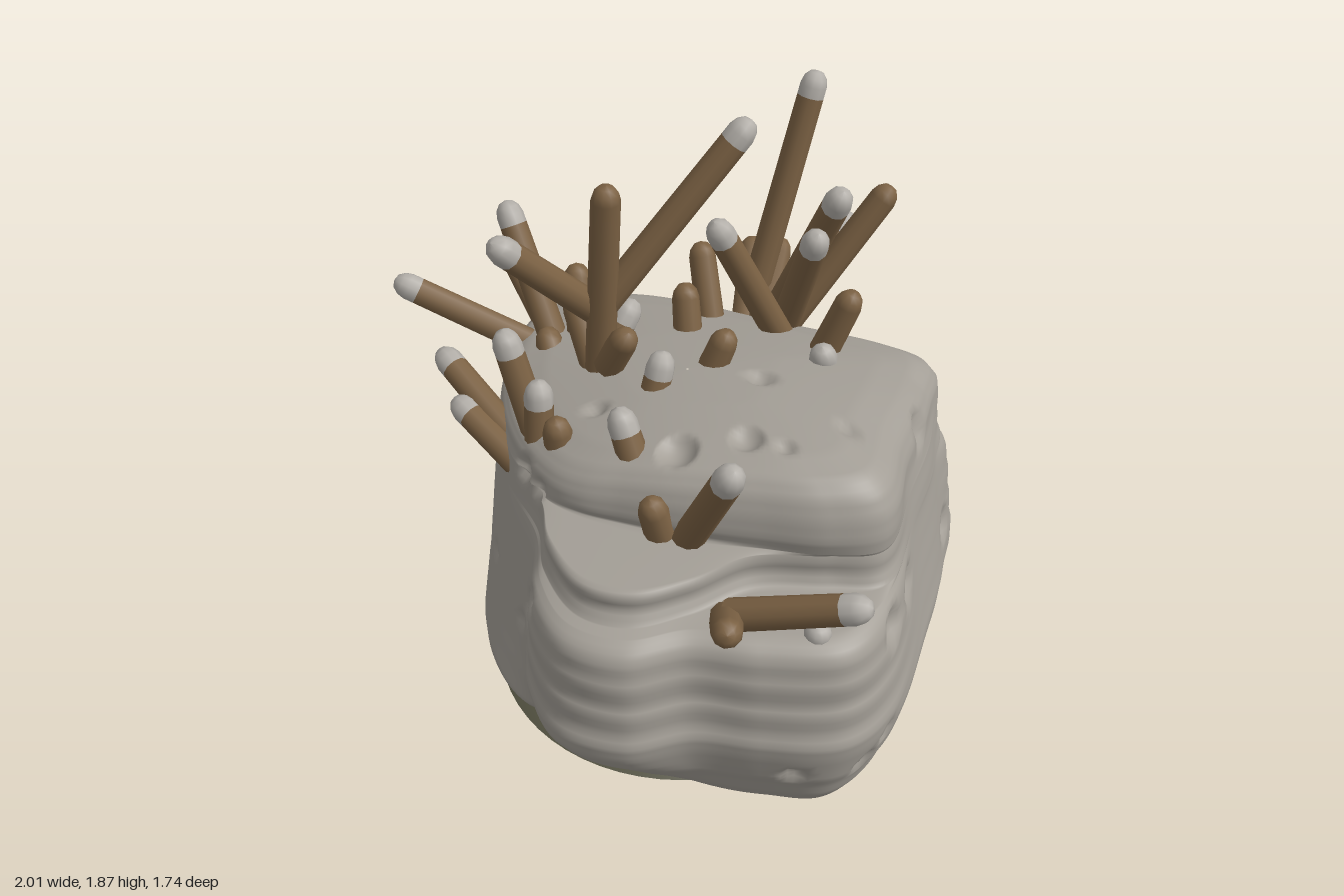
import * as THREE from 'three';

const mat = (name, color, extra = {}) => {
  const m = new THREE.MeshStandardMaterial({ color, ...extra });
  m.name = name;
  return m;
};

// Plan outlines (x, z), all listed in the same order around the rock
const BASE = [[-.83, -.13], [-.77, -.34], [-.55, -.49], [-.2, -.58], [.22, -.68], [.45, -.68], [.6, -.5], [.76, -.2], [.88, .1], [.86, .28],
  [.74, .39], [.62, .47], [.47, .54], [.3, .57], [.12, .61], [-.06, .67], [-.33, .6], [-.61, .37], [-.82, .08]];
const MID = [[-.92, -.15], [-.85, -.4], [-.6, -.57], [-.2, -.66], [.25, -.76], [.5, -.76], [.65, -.56], [.83, -.22], [.97, .1], [.96, .3],
  [.79, .48], [.63, .6], [.53, .77], [.35, .85], [.14, .79], [-.04, .71], [-.33, .61], [-.62, .38], [-.86, .05]];
const CAP = [[-.83, -.13], [-.74, -.35], [-.52, -.48], [-.18, -.58], [.22, -.7], [.42, -.71], [.52, -.56], [.68, -.25], [.81, 0], [.72, .14],
  [.56, .26], [.42, .35], [.3, .42], [.2, .47], [.08, .52], [-.05, .53], [-.3, .46], [-.58, .28], [-.78, .03]];
// Like the cap, but with the raised front lobe
const SHELF = CAP.map((p, i) => ({ 10: [.57, .3], 11: [.52, .5], 12: [.45, .65], 13: [.31, .72], 14: [.1, .67], 15: [-.04, .6] }[i] || p));
const mix = (p, q, t) => p.map((v, k) => v + (q[k] - v) * t);
const blend = (a, b, t) => a.map((p, i) => mix(p, b[i], t));

// How strongly each outline point belongs to one of the two broken-off flat faces
const FLAT = { 5: .5, 6: 1, 7: 1, 8: .4, 15: .75, 16: 1, 17: 1, 18: .85 };

// Stacked rings: height, outline, scale
const LEVELS = [
  [0, BASE, .005], [0, BASE, .5], [.015, BASE, .8], [.04, BASE, .93], [.09, BASE, 1], [.14, blend(BASE, MID, .2), 1.01],
  [.2, blend(BASE, MID, .5), 1], [.25, blend(BASE, MID, .65), 1.01], [.3, blend(BASE, MID, .88), 1], [.36, MID, 1.005], [.42, MID, 1.015],
  [.46, MID, .995], [.53, MID, .997], [.56, MID, .982], [.63, MID, .987], [.66, MID, .975], [.71, MID, .97], [.74, MID, .95],
  [.76, MID, .91], [.77, SHELF, 1.02], [.81, SHELF, .985], [.85, SHELF, .995], [.87, SHELF, .985], [.88, CAP, .995],
  [.93, CAP, 1.015], [1, CAP, 1], [1.06, CAP, .96], [1.1, CAP, .89], [1.125, CAP, .75], [1.145, CAP, .35], [1.15, CAP, .005],
];

// Outline at one level, with the flat faces cut straight from body to cap
const outlineAt = ([y, o, s]) => o.map((p, i) => {
  const q = [p[0] * s, p[1] * s], from = i >= 15 ? .1 : .34;
  if (!FLAT[i] || y < from || y > .96) return q;
  return mix(q, mix(MID[i], CAP[i], (y - from) / (.96 - from)), FLAT[i]);
});

// Pits: x, y, z, radius
const PITS = [
  [-.53, .36, .45, .05], [-.69, .2, .3, .05], [-.4, .46, .55, .035], [-.68, .84, .2, .05], [-.18, .88, .5, .05], [-.08, .88, .52, .04],
  [-.03, .54, .68, .06], [.1, .7, .76, .05], [-.1, .43, .65, .035], [.02, .42, .7, .03], [.94, .27, .2, .05], [.9, .67, .06, .065],
  [.8, .66, -.13, .065], [.6, .99, -.42, .065], [.6, .48, -.61, .06], [.65, .08, -.35, .045], [.8, .3, .33, .045], [.95, .34, .12, .04],
  [.26, 1.12, .3, .065], [.39, 1.14, .14, .055], [.2, 1.14, -.12, .05], [.56, 1.14, -.1, .04], [.5, 1.14, .1, .035], [-.1, 1.08, .3, .04],
  [-.6, .6, -.55, .05], [-.3, .5, -.64, .05], [0, .4, -.7, .05], [.25, .6, -.75, .05], [.1, .25, -.68, .045], [-.5, .3, -.53, .045],
  [-.8, .5, -.4, .05], [-.9, .4, -.1, .05], [-.86, .6, 0, .04], [-.85, .25, -.2, .045], [.3, 0, .2, .04], [-.1, 0, -.1, .04], [.05, 0, .1, .04],
];

function rockGeometry() {
  const N = 228, pos = [], index = [], y0 = .87;
  const curves = LEVELS.map(level => new THREE.CatmullRomCurve3(
    outlineAt(level).map(([x, z]) => new THREE.Vector3(x, level[0], z)), true).getPoints(N).slice(0, N));
  const addRing = (a, b, t) => a.forEach((p, i) => {
    const v = p.clone().lerp(b[i], t);
    if (v.y > y0) { // the top slopes down towards the left and the rim, most of all at the front left
      const rim = v.z > 0 ? .07 + .1 * THREE.MathUtils.clamp(.3 - v.x, 0, 1) : .07;
      const drop = .17 * Math.pow(Math.max(0, .55 - v.x) / 1.3, 1.6) + rim * Math.min(1, v.z * v.z / .3);
      v.y = y0 + (v.y - y0) * (1 - Math.min(.85, drop / .28));
    }
    const r = 1 + .004 * Math.sin(v.x * 11 + v.y * 5) * Math.cos(v.z * 13 - v.y * 4);
    pos.push(v.x * r, v.y, v.z * r);
  });
  for (let k = 0; k < curves.length - 1; k++) {
    const a = curves[k], b = curves[k + 1];
    const far = Math.max(...a.map((p, i) => p.distanceTo(b[i])));
    const steps = Math.min(16, Math.ceil(far / .025));
    for (let j = 0; j < steps; j++) addRing(a, b, j / steps);
  }
  addRing(curves.at(-1), curves.at(-1), 0);
  for (let k = 0; k < pos.length / 3 / N - 1; k++) for (let i = 0; i < N; i++) {
    const j = (i + 1) % N, a = k * N + i, b = k * N + j;
    index.push(a, a + N, b, b, a + N, b + N);
  }
  const g = new THREE.BufferGeometry();
  g.setAttribute('position', new THREE.Float32BufferAttribute(pos, 3));
  g.setIndex(index);
  g.computeVertexNormals();
  // Press round pits into the surface
  const P = g.attributes.position, Nn = g.attributes.normal, v = new THREE.Vector3();
  for (const [x, y, z, r] of PITS) {
    const c = new THREE.Vector3(x, y, z);
    let best = 0, bd = Infinity;
    for (let i = 0; i < P.count; i++) {
      const d = v.fromBufferAttribute(P, i).distanceToSquared(c);
      if (d < bd) { bd = d; best = i; }
    }
    c.fromBufferAttribute(P, best);
    const n = new THREE.Vector3().fromBufferAttribute(Nn, best);
    for (let i = 0; i < P.count; i++) {
      const d = v.fromBufferAttribute(P, i).distanceTo(c) / r;
      if (d < 1) {
        v.addScaledVector(n, -.55 * r * (1 - d * d));
        P.setXYZ(i, v.x, v.y, v.z);
      }
    }
  }
  g.computeVertexNormals();
  return g;
}

// Growths with pale tips: base xyz, end xyz
const TIPPED = [
  [-.25, 1.28, .12, .01, 1.86, -.25], [-.28, 1.25, .12, -.32, 1.6, .47], [-.23, .88, .4, -.34, 1.29, .44], [-.3, 1, .12, -.28, 1.22, -.04],
  [-.24, 1.05, -.55, -.18, 1.81, -.75], [-.16, 1, -.58, .18, 1.61, -.48], [-.1, .98, -.55, .15, 1.48, -.41], [-.04, .98, -.48, -.1, 1.5, -.21],
  [-.1, .98, -.52, -.09, 1.3, -.86], [-.58, .95, .05, -.83, 1.39, .03], [-.62, .88, .02, -1, 1.16, .38], [-.6, .85, -.22, -.84, .92, -.23],
  [-.27, .8, .4, -.76, 1, .39], [-.28, .8, .44, -.6, .92, .46], [-.21, .85, .43, -.22, 1.15, .41], [-.02, 1, .14, -.02, 1.2, .08],
  [.16, 1, .36, .08, 1.18, .36], [.36, .84, .36, .63, 1.29, .44], [.62, .78, .44, .99, .94, .27],
  [-.36, .68, -.56, -.51, .77, -.86], [-.36, .66, -.54, -.55, .7, -.72], [.23, 1.03, -.38, .25, 1.15, -.34],
];
// Growths that are brown to the end
const PLAIN = [
  [-.28, .95, .12, -.18, 1.72, .15], [-.1, .98, -.55, .1, 1.48, -.82], [-.5, .95, 0, -.6, 1.21, -.07], [-.66, .9, -.02, -.96, 1.09, -.08],
  [-.5, .93, .12, -.58, 1.04, .09], [.17, 1.05, -.44, .25, 1.29, -.48], [.01, 1.05, -.08, .06, 1.22, -.12], [-.22, 1, -.22, -.27, 1.2, -.25],
  [-.26, .95, -.37, -.38, 1.24, -.43], [-.22, .9, -.48, -.38, 1.16, -.69], [-.16, .9, -.48, -.26, 1.2, -.7], [.31, .84, .4, .31, 1.02, .45],
  [.6, .75, .43, .75, .88, .58], [-.12, .85, .41, -.11, 1.08, .44], [-.28, 1, .12, -.42, 1.24, .1],
  [-.38, .78, -.52, -.4, .8, -.69], [-.3, .72, -.55, -.3, .72, -.71], [-.24, .66, -.56, -.24, .66, -.71], [-.22, 1.08, .13, -.11, 1.25, .14],
];

export function createModel() {
  const group = new THREE.Group();
  group.name = 'coralRock';
  const rockMat = mat('rockGrey', 0xa39e96);
  const brown = mat('coralBrown', 0x7c6244);
  const pale = mat('paleTip', 0xb2aea8);
  const olive = mat('seabedOlive', 0x555443, { side: THREE.DoubleSide });
  const orange = mat('seabedOrange', 0x94713c, { side: THREE.DoubleSide });
  const add = (parent, name, geo, m) => {
    const mesh = new THREE.Mesh(geo, m);
    mesh.name = name;
    parent.add(mesh);
    return mesh;
  };

  add(group, 'rock', rockGeometry(), rockMat);

  // Thin domed sheets that peep out at the front and back of the foot
  const sheet = (name, points, width, m) => {
    const g = new THREE.LatheGeometry(points.map(p => new THREE.Vector2(...p)), 64);
    add(group, name, g.scale(width, 1, 1).rotateY(.37).translate(.05, 0, .01), m);
  };
  sheet('seabedSheet', [[.71, .085], [.67, .11], [.6, .135], [.3, .15], [0, .155]], .92, olive);
  sheet('seabedPatch', [[.655, .122], [.62, .138], [.5, .147], [0, .16]], .7, orange);

  // Slightly tapered rod with a rounded end, along +y
  const R = .049, TIP = .045;
  const rod = (len, foot) => new THREE.LatheGeometry([[foot, 0], [TIP, len - .05], [TIP * .85, len - .025], [TIP * .5, len - .006], [0, len]]
    .map(p => new THREE.Vector2(...p)), 10);
  const growth = ([x, y, z, ex, ey, ez], tipped) => {
    const a = new THREE.Vector3(x, y, z), d = new THREE.Vector3(ex, ey, ez).sub(a), len = d.length();
    const g = new THREE.Group();
    g.name = tipped ? 'tippedCoral' : 'plainCoral';
    g.position.copy(a);
    g.quaternion.setFromUnitVectors(new THREE.Vector3(0, 1, 0), d.normalize());
    if (tipped) {
      const cut = len - .085;
      add(g, 'coralStem', new THREE.CylinderGeometry(TIP, R, cut, 10, 1, true).translate(0, cut / 2, 0), brown);
      add(g, 'coralTip', rod(.085, TIP).translate(0, cut, 0), pale);
    } else add(g, 'coralStem', rod(len, R), brown);
    group.add(g);
  };
  TIPPED.forEach(c => growth(c, true));
  PLAIN.forEach(c => growth(c, false));

  // Loose nub on the right shelf
  add(group, 'paleNub', new THREE.SphereGeometry(.04, 12, 8).translate(.83, .76, .3), pale);
  return group;
}
